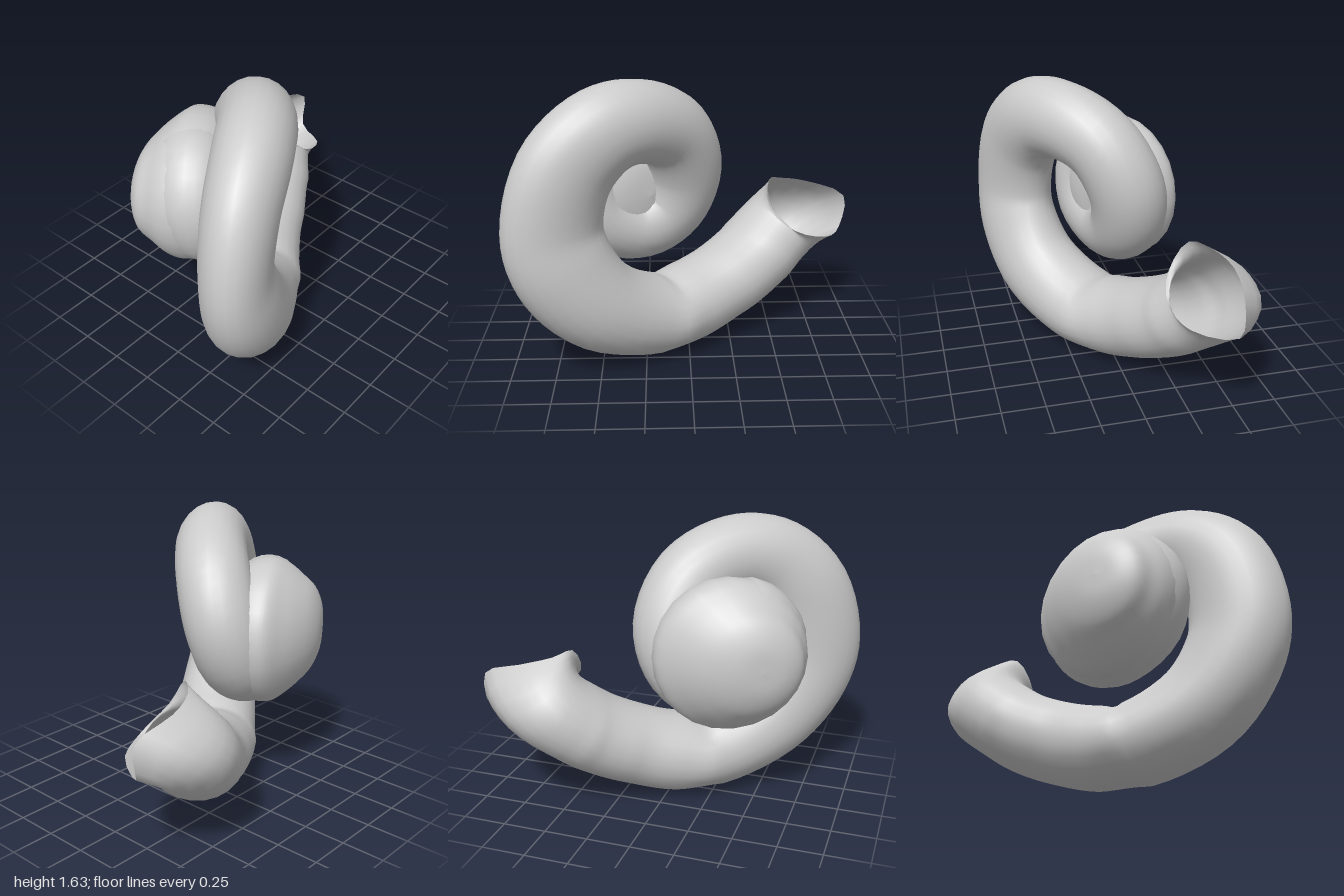
import * as THREE from 'three';

const SIDES = 24, RINGS = 100, TILT = Math.PI / 3;

// Centre line of the coil from mouth to tip, in the coil's own plane:
// [along, up, sideways, radius in plane, radius across]
const PATH = [
  [-0.64, 0.54, 0.06, 0.235, 0.265], [-0.48, 0.43, 0.045, 0.235, 0.265],
  [-0.28, 0.335, 0.03, 0.235, 0.26], [0.00, 0.25, 0.02, 0.235, 0.26],
  [0.24, 0.24, -0.005, 0.235, 0.26], [0.61, 0.40, -0.04, 0.265, 0.24],
  [0.81, 0.65, -0.035, 0.285, 0.21], [0.86, 0.87, -0.022, 0.285, 0.188],
  [0.78, 1.18, -0.035, 0.275, 0.195], [0.59, 1.365, -0.055, 0.25, 0.205],
  [0.37, 1.405, -0.045, 0.23, 0.21], [0.10, 1.30, 0.02, 0.22, 0.215],
  [-0.02, 1.05, 0.10, 0.23, 0.22], [0.04, 0.82, 0.17, 0.22, 0.22],
  [0.22, 0.73, 0.22, 0.215, 0.21], [0.44, 0.82, 0.25, 0.205, 0.20],
  [0.49, 1.03, 0.28, 0.195, 0.20], [0.33, 1.17, 0.31, 0.20, 0.20],
  [0.20, 1.06, 0.34, 0.18, 0.18], [0.25, 0.95, 0.36, 0.14, 0.14],
];

// Flared lip of the mouth, one point every eighth of a turn
const LIP = [
  [-0.42, 0.57, -0.97], [-0.43, 0.77, -0.99], [-0.46, 0.86, -0.75], [-0.40, 0.90, -0.58],
  [-0.30, 0.92, -0.50], [-0.19, 0.76, -0.50], [-0.14, 0.64, -0.65], [-0.20, 0.58, -0.84],
];

// Merged inner whorls, back to front: [sideways, centre along, radius]
const DOME = [
  [0.04, 0.22, 0.001], [0.06, 0.22, 0.17], [0.12, 0.22, 0.31], [0.20, 0.23, 0.39],
  [0.28, 0.24, 0.42], [0.36, 0.25, 0.42], [0.44, 0.28, 0.375], [0.51, 0.30, 0.315],
  [0.58, 0.335, 0.24], [0.625, 0.35, 0.13], [0.635, 0.35, 0.001],
];

// Skin over closed rings of equal point count
function loft(rings) {
  const index = [];
  for (let i = 0; i < rings.length - 1; i++) {
    for (let j = 0; j < SIDES; j++) {
      const a = i * SIDES + j, c = i * SIDES + (j + 1) % SIDES;
      const b = a + SIDES, d = c + SIDES;
      index.push(a, b, c, c, b, d);
    }
  }
  const geo = new THREE.BufferGeometry().setFromPoints(rings.flat());
  geo.setIndex(index);
  geo.computeVertexNormals();
  return geo;
}

// Ring of points around a centre, spanned by two directions
function makeRing(center, dirA, dirB, rA, rB) {
  return Array.from({ length: SIDES }, (_, j) => {
    const a = j / SIDES * Math.PI * 2;
    return center.clone().addScaledVector(dirA, rA * Math.cos(a))
      .addScaledVector(dirB, rB * Math.sin(a));
  });
}

function createTube() {
  const line = new THREE.CatmullRomCurve3(PATH.map(p => new THREE.Vector3(p[0], p[1], p[2])));
  const radii = new THREE.CatmullRomCurve3(PATH.map(p => new THREE.Vector3(p[3], p[4], 0)));
  const axis = new THREE.Vector3(0, 0, 1), up = new THREE.Vector3(0, 1, 0);
  const rings = [];
  for (let i = 0; i <= RINGS; i++) {
    const t = i / RINGS, r = radii.getPoint(t), tan = line.getTangent(t);
    const out = tan.clone().cross(axis).normalize();
    const side = out.clone().cross(tan).normalize();
    rings.push(makeRing(line.getPoint(t), out, side, r.x, r.y));
  }

  // Mouth: each side of the tube curves on into the lip
  const lip = new THREE.CatmullRomCurve3(
    LIP.map(p => new THREE.Vector3(...p).applyAxisAngle(up, TILT)), true);
  const forward = line.getTangent(0).negate();
  const strands = rings[0].map((p, j) => {
    const q = lip.getPoint(j / SIDES);
    const bend = p.clone().addScaledVector(forward, 0.6 * p.distanceTo(q));
    return new THREE.QuadraticBezierCurve3(p, bend, q);
  });
  for (let k = 1; k <= 6; k++) rings.unshift(strands.map(s => s.getPoint(k / 6)));
  return loft(rings);
}

function createDome() {
  const profile = new THREE.CatmullRomCurve3(DOME.map(p => new THREE.Vector3(...p)));
  const along = new THREE.Vector3(1, 0, 0), up = new THREE.Vector3(0, 1, 0);
  return loft(profile.getPoints(40).map(p =>
    makeRing(new THREE.Vector3(p.y, 0.945, p.x), along, up, p.z, p.z * 1.02)));
}

export function createModel() {
  const group = new THREE.Group();
  group.name = 'spiralHorn';
  const material = new THREE.MeshStandardMaterial({ color: 0xcccccc, side: THREE.DoubleSide });
  const parts = { coiledTube: createTube(), innerWhorls: createDome() };
  for (const [name, geometry] of Object.entries(parts)) {
    const mesh = new THREE.Mesh(geometry, material);
    mesh.name = name;
    mesh.rotation.y = -TILT;
    group.add(mesh);
  }
  return group;
}
